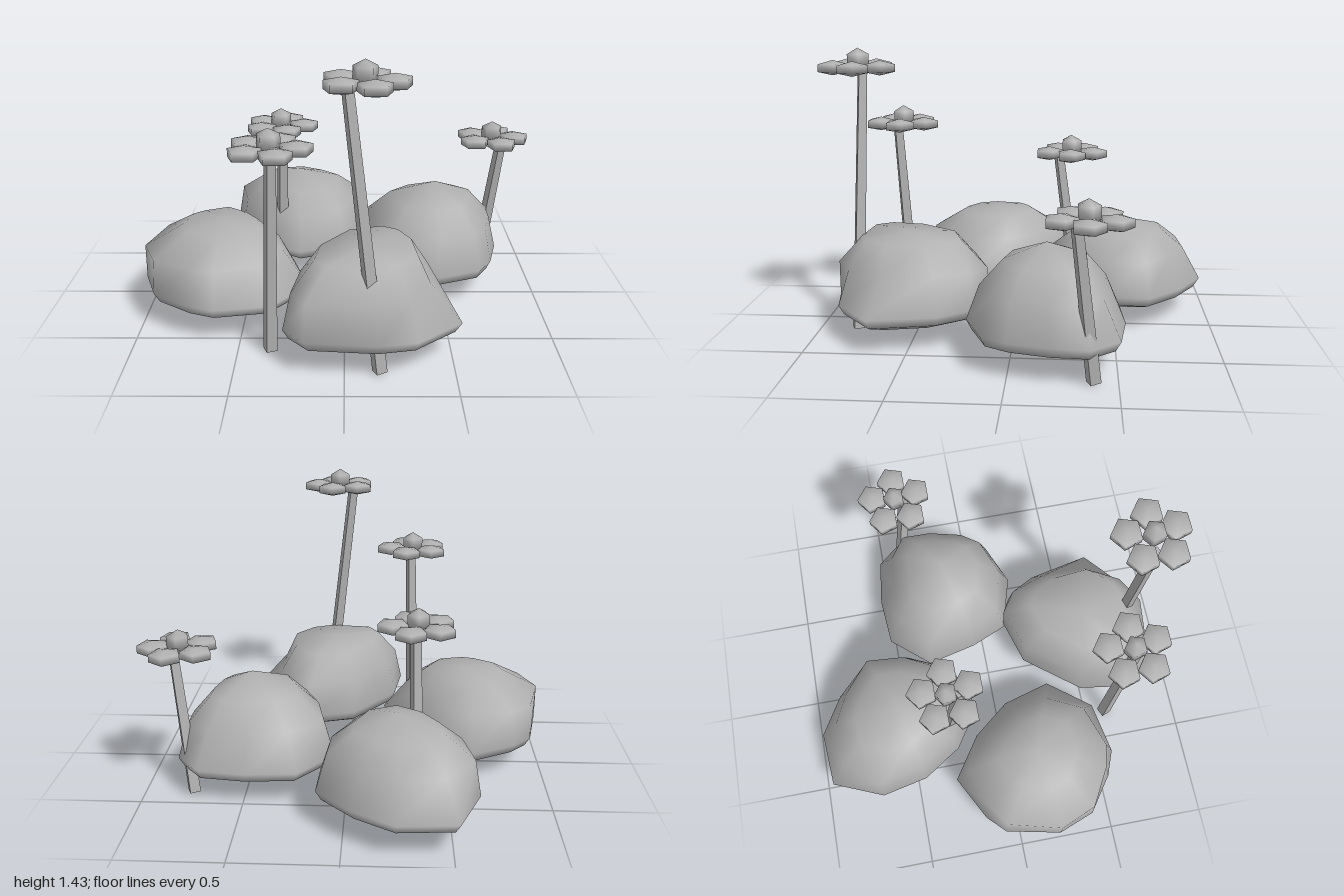
import * as THREE from 'three';

const stone = new THREE.MeshStandardMaterial({ color: 0xb0b0b0 });
stone.name = 'grey';

// Boulder from stacked loops: outline points are [x, z, shoulder scale], clockwise from above
function makeRock({ name, centre, outline, crown, crownY, topY, bottomY }) {
  const [cx, cz] = centre;
  const n = outline.length;
  const rings = [
    { y: bottomY + 0.02, s: () => 0.62 },
    { y: 0.135, s: () => 0.93 },
    { y: 0.185, s: () => 1 },
    { y: 0.36, s: (p) => p[2] },
    { y: crownY, s: (p) => crown * (0.4 + 0.6 * p[2]) },
  ];
  const pos = [];
  for (const r of rings) {
    for (const p of outline) {
      const s = r.s(p);
      pos.push(cx + (p[0] - cx) * s, r.y, cz + (p[1] - cz) * s);
    }
  }
  const bottom = rings.length * n, top = bottom + 1;
  pos.push(cx, bottomY, cz, cx, topY, cz);

  const index = [];
  const last = (rings.length - 1) * n;
  for (let i = 0; i < n; i++) {
    const j = (i + 1) % n;
    for (let k = 0; k < rings.length - 1; k++) {
      const a = k * n + i, b = k * n + j;
      index.push(b, a, a + n, b, a + n, b + n);
    }
    index.push(bottom, i, j);
    index.push(last + j, last + i, top);
  }
  const geo = new THREE.BufferGeometry();
  geo.setAttribute('position', new THREE.Float32BufferAttribute(pos, 3));
  geo.setIndex(index);
  geo.computeVertexNormals();
  const mesh = new THREE.Mesh(geo, stone);
  mesh.name = name;
  return mesh;
}

const rocks = [
  {
    name: 'leftRock', centre: [-0.6, 0.14], crown: 0.52, crownY: 0.465, topY: 0.485, bottomY: 0.07,
    outline: [[-0.62, -0.29, 0.85], [-0.4, -0.14, 0.8], [-0.25, 0.05, 0.75], [-0.18, 0.3, 0.7], [-0.35, 0.52, 0.8],
      [-0.62, 0.57, 0.88], [-0.75, 0.52, 0.92], [-0.93, 0.39, 0.98], [-1, 0.2, 1], [-0.94, -0.08, 0.97], [-0.85, -0.17, 0.92]],
  },
  {
    name: 'backRock', centre: [-0.25, -0.53], crown: 0.6, crownY: 0.455, topY: 0.52, bottomY: 0.07,
    outline: [[-0.52, -0.95, 0.78], [-0.24, -0.97, 0.78], [-0.04, -0.85, 0.82], [0.13, -0.68, 0.87], [0.12, -0.45, 0.85],
      [0.01, -0.21, 0.82], [-0.24, -0.11, 0.85], [-0.45, -0.25, 0.9], [-0.58, -0.45, 0.92], [-0.63, -0.69, 0.92]],
  },
  {
    name: 'rightRock', centre: [0.48, -0.17], crown: 0.6, crownY: 0.485, topY: 0.572, bottomY: 0.075,
    outline: [[0.23, -0.52, 0.8], [0.48, -0.54, 0.74], [0.72, -0.51, 0.77], [0.83, -0.38, 0.86], [0.82, -0.2, 0.88],
      [0.77, 0, 0.88], [0.7, 0.12, 0.85], [0.48, 0.21, 0.83], [0.2, 0.13, 0.88], [0.12, -0.06, 0.9], [0.06, -0.32, 0.88]],
  },
  {
    name: 'frontRock', centre: [0.1, 0.54], crown: 0.66, crownY: 0.495, topY: 0.515, bottomY: 0.06,
    outline: [[-0.02, 0.2, 0.97], [0.22, 0.13, 1], [0.35, 0.18, 0.93], [0.47, 0.35, 0.8], [0.54, 0.68, 0.67],
      [0.33, 0.86, 0.85], [0.15, 0.895, 1], [-0.18, 0.865, 0.98], [-0.28, 0.75, 0.9], [-0.24, 0.48, 0.9]],
  },
];

// Five-sided bead used for petals and flower centres, one corner towards the back
const bead = new THREE.SphereGeometry(1, 5, 3).rotateY(-Math.PI / 2);

function makeBead(name, x, y, z, rx, ry) {
  const mesh = new THREE.Mesh(bead, stone);
  mesh.name = name;
  mesh.position.set(x, y, z);
  mesh.scale.set(rx, ry, rx);
  return mesh;
}

function makeFlower({ name, head, from, to }) {
  const group = new THREE.Group();
  group.name = name;

  // Leaning, tapered four-sided stem
  const a = new THREE.Vector3(...from), b = new THREE.Vector3(...to);
  const dir = b.clone().sub(a);
  const geo = new THREE.CylinderGeometry(0.029, 0.037, dir.length(), 4).rotateY(Math.PI / 4 + 0.4).toNonIndexed();
  geo.computeVertexNormals();
  const stem = new THREE.Mesh(geo, stone);
  stem.name = 'stem';
  stem.position.copy(a).add(b).multiplyScalar(0.5);
  stem.quaternion.setFromUnitVectors(new THREE.Vector3(0, 1, 0), dir.normalize());
  group.add(stem);

  // Ring of petals around a raised centre
  const [x, y, z] = head;
  for (let i = 0; i < 5; i++) {
    const t = (i / 5) * Math.PI * 2;
    group.add(makeBead('petal', x + Math.cos(t) * 0.122, y, z + Math.sin(t) * 0.122, 0.089, 0.037));
  }
  group.add(makeBead('flowerCentre', x, y + 0.035, z, 0.064, 0.06));
  return group;
}

const flowers = [
  { name: 'tallFlower', head: [0.085, 1.335, 0.78], from: [0.16, 0.01, 0.805], to: [0.01, 1.33, 0.775] },
  { name: 'frontFlower', head: [-0.33, 1.005, 0.64], from: [-0.348, 0.01, 0.61], to: [-0.32, 1.0, 0.67] },
  { name: 'backFlower', head: [-0.34, 0.85, -0.27], from: [-0.35, 0.01, -0.315], to: [-0.33, 0.84, -0.205] },
  { name: 'sideFlower', head: [0.8, 0.755, -0.355], from: [0.757, 0.01, -0.39], to: [0.843, 0.75, -0.305] },
];

export function createModel() {
  const model = new THREE.Group();
  model.name = 'rockFlowerPatch';
  rocks.forEach((r) => model.add(makeRock(r)));
  flowers.forEach((f) => model.add(makeFlower(f)));
  return model;
}
